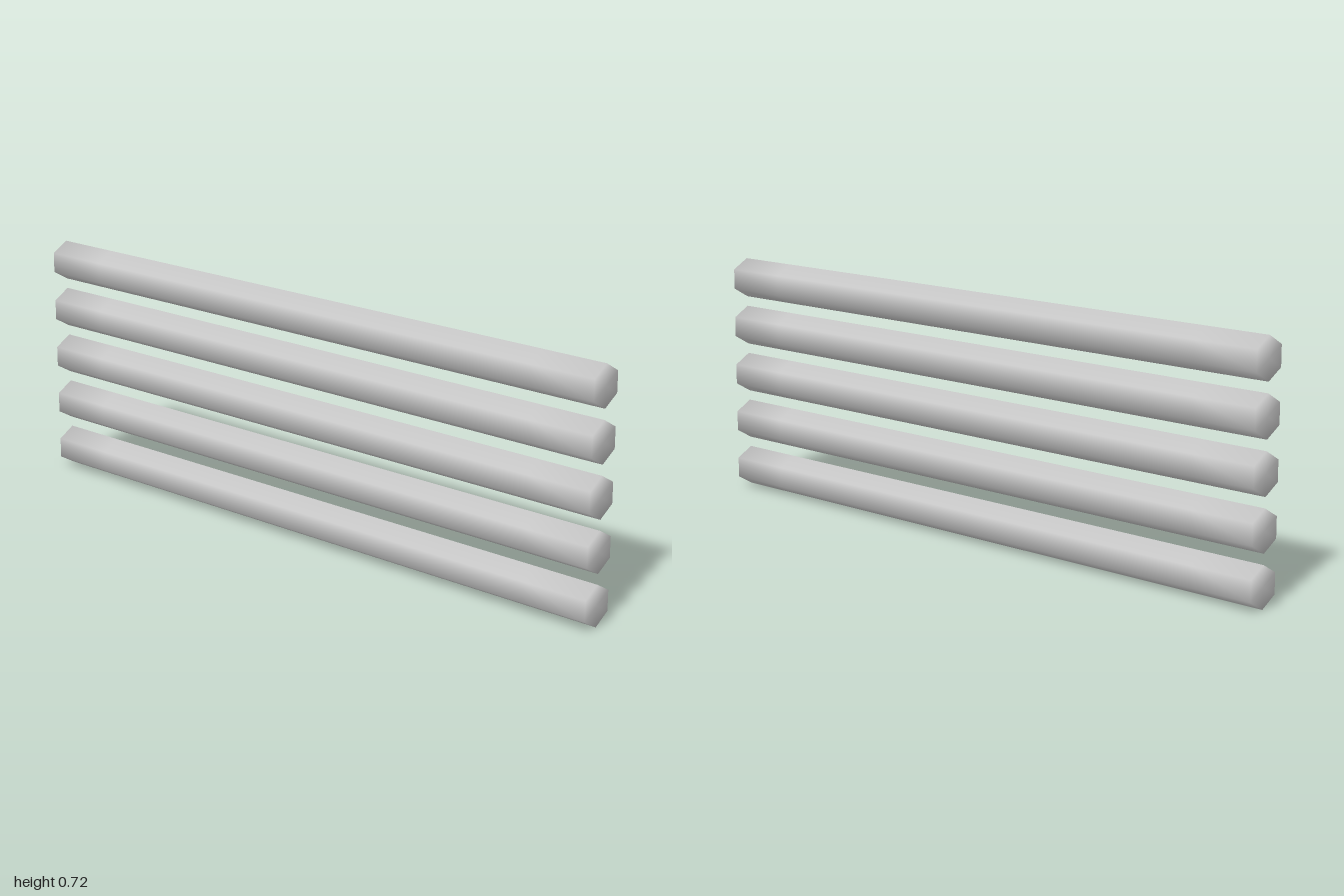
import * as THREE from 'three';
import { mergeVertices } from 'three/addons/utils/BufferGeometryUtils.js';

const RADIUS = 0.06, LENGTH = 2, SPACING = 0.15, COUNT = 5;

// Six-sided bar along x, corners up and down, shaded smoothly round the ends
function barGeometry() {
  let geo = new THREE.CylinderGeometry(RADIUS, RADIUS, LENGTH, 6, 10);
  geo.rotateZ(Math.PI / 2).rotateX(Math.PI / 2);
  geo.deleteAttribute('uv');
  geo.deleteAttribute('normal');
  geo = mergeVertices(geo, 1e-4);
  geo.computeVertexNormals();

  // Tilt the rim normals outward; the rest stay radial or axial
  const pos = geo.attributes.position, normal = geo.attributes.normal;
  const n = new THREE.Vector3();
  for (let i = 0; i < pos.count; i++) {
    const x = pos.getX(i);
    const tilt = Math.abs(x) > LENGTH / 2 - 1e-3 ? Math.sign(x) * 0.77 : 0;
    n.set(tilt, pos.getY(i) / RADIUS, pos.getZ(i) / RADIUS).normalize();
    normal.setXYZ(i, n.x, n.y, n.z);
  }
  return geo;
}

export function createModel() {
  const model = new THREE.Group();
  model.name = 'barStack';
  const material = new THREE.MeshStandardMaterial({ color: 0xcccccc });
  const geometry = barGeometry();

  // Parallel bars stacked with even gaps
  for (let i = 0; i < COUNT; i++) {
    const bar = new THREE.Mesh(geometry, material);
    bar.name = `bar${i + 1}`;
    bar.position.y = RADIUS + i * SPACING;
    model.add(bar);
  }
  return model;
}
